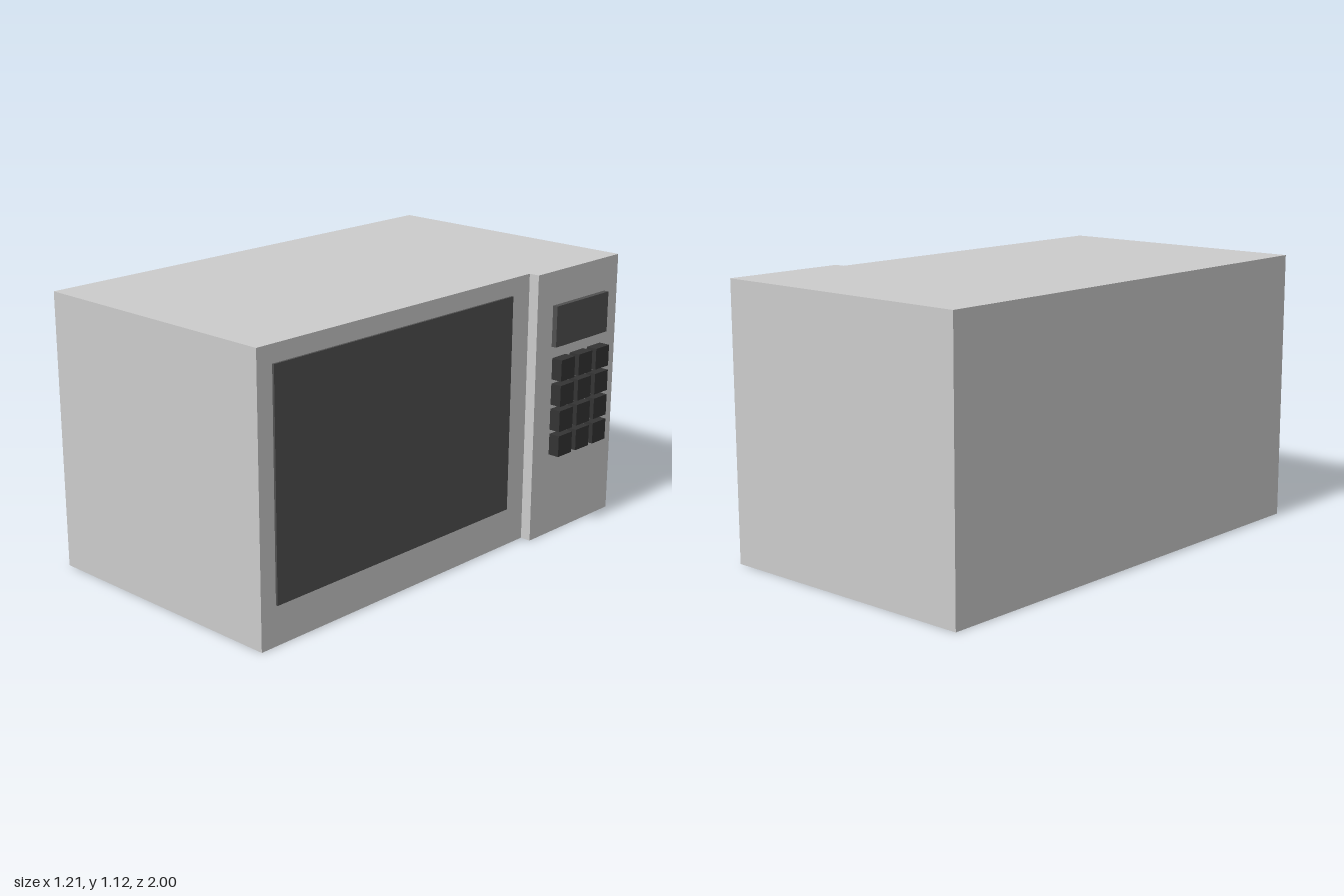
import * as THREE from 'three';

const grey = new THREE.MeshStandardMaterial({ color: 0xcccccc });
const glass = new THREE.MeshStandardMaterial({ color: 0x505050 });
const dark = new THREE.MeshStandardMaterial({ color: 0x333333 });

const HEIGHT = 1.12, BACK = -0.605, DOOR = 0.512, PANEL = 0.557, STEP_Z = -0.468;

// Box given by its min and max corners
function slab(name, material, [x0, y0, z0], [x1, y1, z1]) {
  const mesh = new THREE.Mesh(new THREE.BoxGeometry(x1 - x0, y1 - y0, z1 - z0), material);
  mesh.position.set((x0 + x1) / 2, (y0 + y1) / 2, (z0 + z1) / 2);
  mesh.name = name;
  return mesh;
}

export function createModel() {
  const model = new THREE.Group();
  model.name = 'microwaveOven';

  // Casing: plan outline with the control panel standing proud of the door
  const plan = new THREE.Shape([
    [BACK, -1], [DOOR, -1], [DOOR, -STEP_Z], [PANEL, -STEP_Z], [PANEL, 1], [BACK, 1],
  ].map(([x, y]) => new THREE.Vector2(x, y)));
  const casing = new THREE.Mesh(
    new THREE.ExtrudeGeometry(plan, { depth: HEIGHT, bevelEnabled: false }).rotateX(-Math.PI / 2), grey);
  casing.name = 'casing';
  model.add(casing);

  // Door window and display
  model.add(slab('doorWindow', glass, [DOOR - 0.01, 0.16, -0.357], [0.521, 1.05, 0.928]));
  model.add(slab('display', glass, [PANEL - 0.01, 0.81, -0.912], [0.579, 0.98, -0.568]));

  // Keypad: 4 rows of 3 buttons
  const keypad = new THREE.Group();
  keypad.name = 'keypad';
  const half = 0.0445;
  for (let row = 0; row < 4; row++) {
    for (let col = 0; col < 3; col++) {
      const y = 0.394 + row * 0.1073, z = -0.62 - col * 0.1165;
      keypad.add(slab('button', dark, [PANEL - 0.01, y - half, z - half], [0.605, y + half, z + half]));
    }
  }
  model.add(keypad);
  return model;
}
